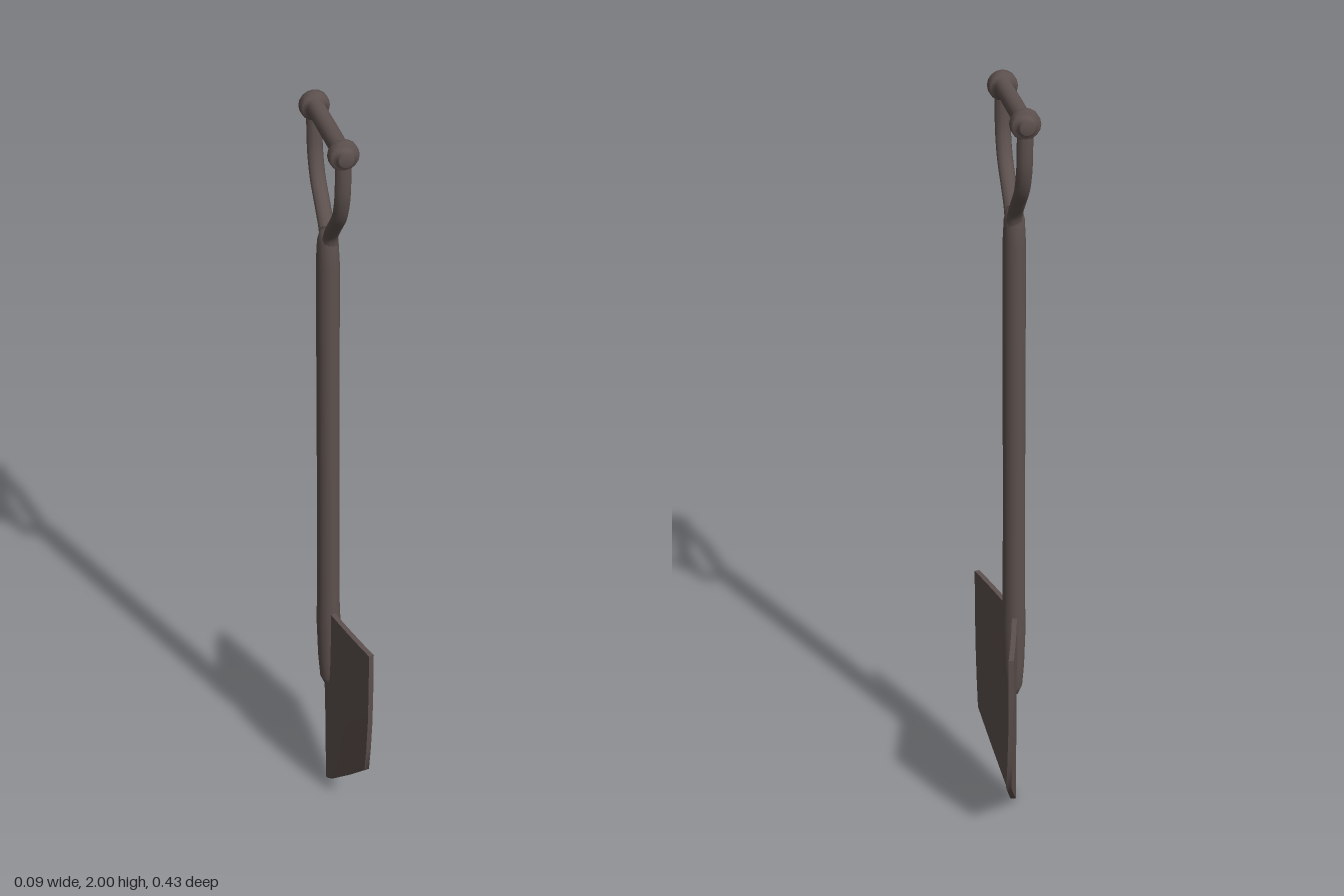
import * as THREE from 'three';

const CX = -0.012; // x of the shaft axis

export function createModel() {
  const group = new THREE.Group();
  const brown = new THREE.MeshStandardMaterial({ color: 0x5d514e });
  brown.name = 'dark brown';

  const add = (geometry, name, x = 0, y = 0, z = 0) => {
    const mesh = new THREE.Mesh(geometry, brown);
    mesh.name = name;
    mesh.position.set(x, y, z);
    group.add(mesh);
    return mesh;
  };
  const lathe = (points, segments) =>
    new THREE.LatheGeometry(points.map(([r, y]) => new THREE.Vector2(r, y)), segments);

  // Blade: a thin slab bent into a shallow V; rows are [height, half width]
  const rows = [[0.59, 0.211], [0.47, 0.211], [0.36, 0.207], [0.26, 0.196], [0.175, 0.181],
    [0.105, 0.116], [0.038, 0.05], [0.015, 0.027], [0.004, 0.01], [0, 0.003]];
  const n = rows.length - 1;
  const blade = new THREE.BoxGeometry(1, 1, 1, 1, n, 12);
  const pos = blade.attributes.position;
  for (let i = 0; i < pos.count; i++) {
    const [y, w] = rows[Math.round((0.5 - pos.getY(i)) * n)];
    const u = pos.getZ(i) * 2;
    const depth = 0.053 * Math.min(1, w / 0.181) * Math.pow(Math.abs(u), 1.15);
    const back = pos.getX(i) < 0;
    pos.setXYZ(i, depth + (back ? -0.021 : -0.008), y, u * (w + (back ? 0.002 : 0)));
  }
  blade.computeVertexNormals();
  add(blade, 'blade');

  // Shaft with a tapered foot sunk through the blade
  add(lathe([[0, 0.335], [0.012, 0.34], [0.022, 0.365], [0.027, 0.43], [0.031, 0.56],
    [0.029, 0.62], [0.028, 0.9], [0.028, 1.62], [0.025, 1.68], [0.018, 1.71], [0, 1.715]], 16),
  'shaft', CX - 0.002);

  // Forked arms below the grip, mirrored in z
  for (const s of [1, -1]) {
    const path = new THREE.CatmullRomCurve3([[1.66, 0.008], [1.70, 0.017], [1.745, 0.052],
      [1.795, 0.093], [1.85, 0.114], [1.91, 0.12], [1.965, 0.121]]
      .map(([y, z]) => new THREE.Vector3(0, y, s * z)));
    const arm = add(new THREE.TubeGeometry(path, 20, 0.014, 10), 'forkArm', CX);
    arm.scale.x = 1.35;
  }

  // Grip bar with a collar and end cap at each side
  add(lathe([[0, -0.15], [0.017, -0.15], [0.02, -0.145], [0.021, -0.135], [0.031, -0.135],
    [0.035, -0.129], [0.035, -0.113], [0.031, -0.106], [0.021, -0.103], [0.0215, 0],
    [0.021, 0.103], [0.031, 0.106], [0.035, 0.113], [0.035, 0.129], [0.031, 0.135],
    [0.021, 0.135], [0.02, 0.145], [0.017, 0.15], [0, 0.15]], 16),
  'grip', CX, 1.965).rotation.x = Math.PI / 2;

  return group;
}
